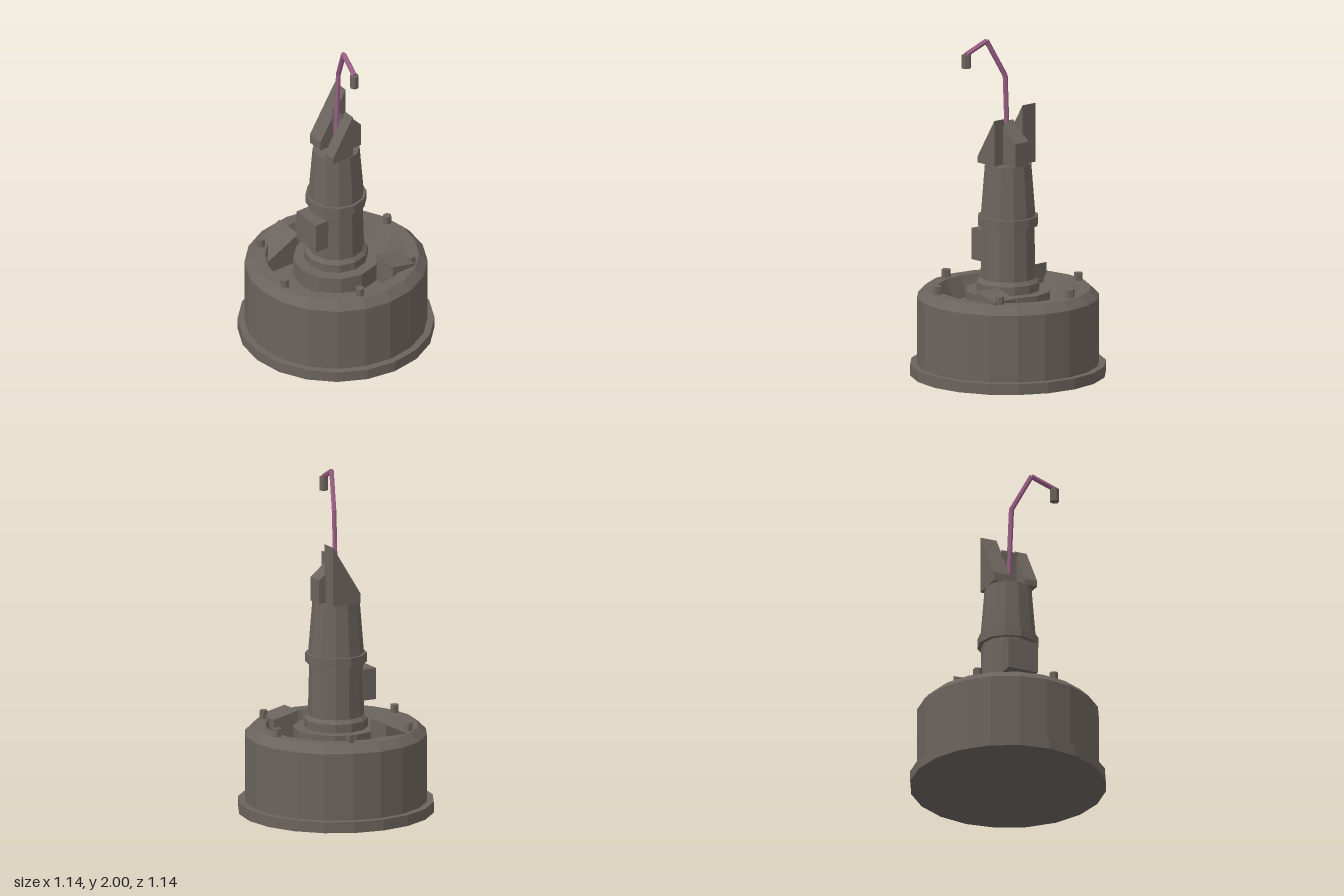
import * as THREE from 'three';

const stone = new THREE.MeshStandardMaterial({ color: 0x6b635d });
stone.name = 'weatheredStone';
const rust = new THREE.MeshStandardMaterial({ color: 0x9a6085 });
rust.name = 'mauveBar';
const V = (x, y, z) => new THREE.Vector3(x, y, z);

// Faceted mesh: every face gets its own normal
function add(group, name, geometry, material = stone) {
  const flat = geometry.index ? geometry.toNonIndexed() : geometry;
  flat.computeVertexNormals();
  const mesh = new THREE.Mesh(flat, material);
  mesh.name = name;
  group.add(mesh);
  return mesh;
}

const lathe = (points, sides) =>
  new THREE.LatheGeometry(points.map(([r, y]) => new THREE.Vector2(r, y)), sides);

// Box between limits whose top slopes from the back height to the front height
function slab(x0, x1, z0, z1, y0, yBack, yFront) {
  const g = new THREE.BoxGeometry(1, 1, 1);
  const p = g.attributes.position;
  for (let i = 0; i < p.count; i++) {
    const front = p.getZ(i) > 0;
    const top = p.getY(i) > 0;
    p.setXYZ(i, p.getX(i) > 0 ? x1 : x0, top ? (front ? yFront : yBack) : y0, front ? z1 : z0);
  }
  return g;
}

// Straight six-sided rod between two points
function rod(a, b, r) {
  const dir = b.clone().sub(a);
  const g = new THREE.CylinderGeometry(r, r, dir.length(), 6);
  g.applyQuaternion(new THREE.Quaternion().setFromUnitVectors(V(0, 1, 0), dir.normalize()));
  const mid = a.clone().add(b).multiplyScalar(0.5);
  return g.translate(mid.x, mid.y, mid.z);
}

export function createModel() {
  const model = new THREE.Group();
  model.name = 'brokenPillar';

  // Drum with foot flange, bevelled rim and recessed floor
  add(model, 'drumBase', lathe([
    [0, 0], [0.57, 0], [0.57, 0.065], [0.53, 0.065], [0.53, 0.46],
    [0.48, 0.51], [0.41, 0.51], [0.36, 0.39], [0, 0.39],
  ], 20));

  // Round plinth in the recess, with the flared collar
  add(model, 'plinth', lathe([
    [0.25, 0.38], [0.25, 0.5], [0.185, 0.5], [0.185, 0.55], [0.16, 0.575],
  ], 12));

  // Column, band and tapering upper shaft
  add(model, 'column', lathe([[0.163, 0.56], [0.155, 0.9]], 12));
  add(model, 'columnBand', lathe([
    [0.15, 0.885], [0.178, 0.885], [0.178, 0.94], [0.15, 0.94],
  ], 12));
  add(model, 'upperShaft', lathe([[0.162, 0.935], [0.137, 1.25], [0, 1.25]], 12));

  // Control box on the front of the column
  add(model, 'frontBox', slab(-0.095, 0.092, 0.12, 0.213, 0.655, 0.84, 0.84));

  // Jagged broken pieces on top
  add(model, 'leftShard', slab(0.053, 0.13, -0.025, 0.12, 1.25, 1.52, 1.285));
  add(model, 'rightShard', slab(-0.133, -0.03, -0.092, 0.09, 1.25, 1.6, 1.305));
  add(model, 'backShard', slab(-0.04, 0.063, -0.133, 0, 1.25, 1.39, 1.5));

  // Fallen chunks resting in the recess
  add(model, 'rightChunk', slab(-0.4, -0.215, 0.11, 0.32, 0.38, 0.578, 0.475));
  add(model, 'leftChunk', slab(0.21, 0.37, -0.295, -0.135, 0.38, 0.525, 0.562));

  // Six hexagonal bolts around the rim
  for (let i = 0; i < 6; i++) {
    const a = THREE.MathUtils.degToRad(18.5 + i * 60);
    add(model, 'rimBolt', new THREE.CylinderGeometry(0.026, 0.026, 0.06, 6)
      .translate(0.444 * Math.cos(a), 0.527, 0.444 * Math.sin(a)));
  }

  // Bent bar with a small weight hanging from its tip
  const path = [V(0, 1.25, 0), V(0.022, 1.77, 0), V(0.13, 1.985, 0.042), V(0.268, 1.92, 0.066)];
  for (let i = 0; i < path.length - 1; i++) {
    add(model, 'bentBar', rod(path[i], path[i + 1], 0.015), rust);
  }
  add(model, 'barTip', new THREE.CylinderGeometry(0.027, 0.027, 0.08, 6)
    .translate(0.266, 1.88, 0.066));

  return model;
}
